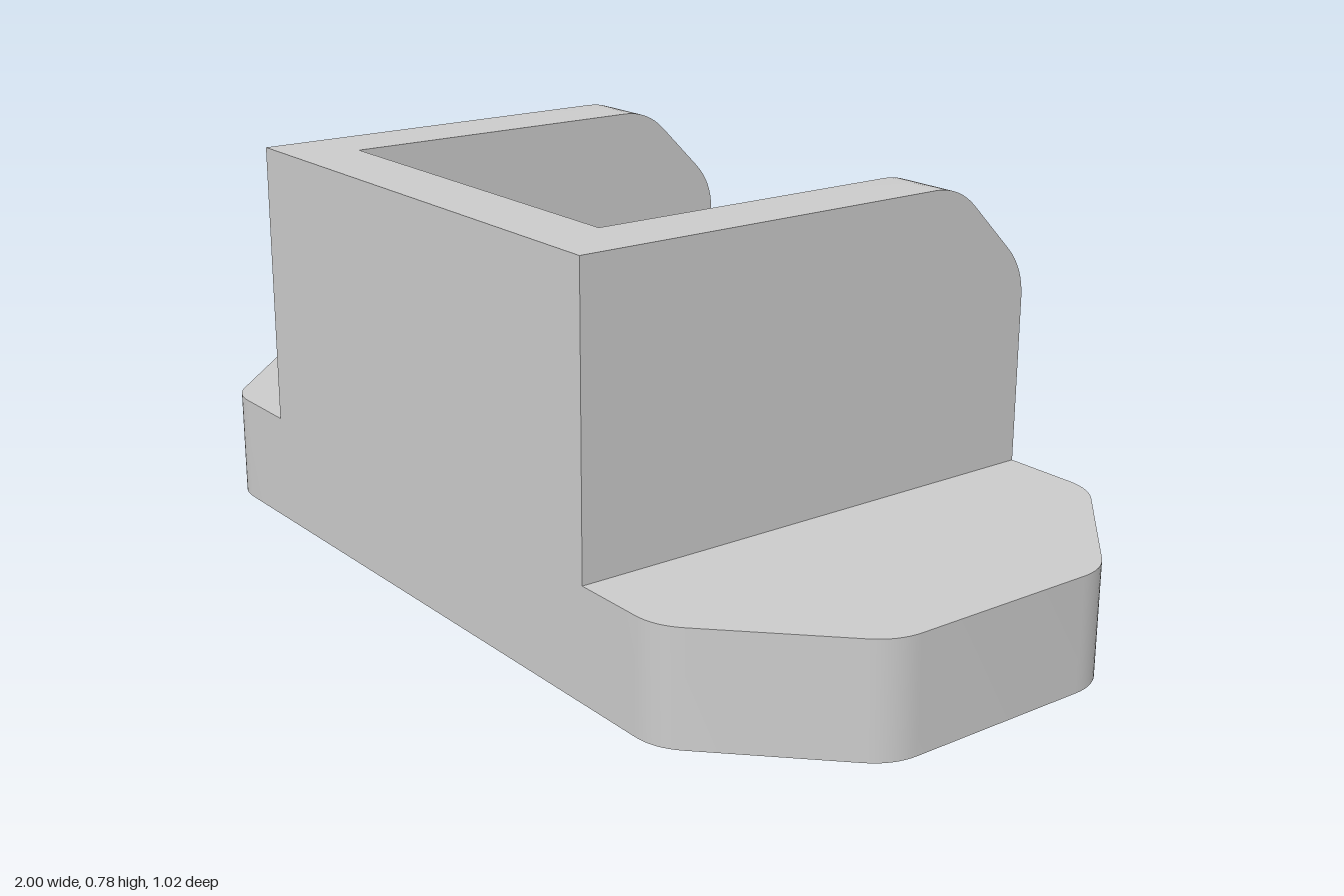
import * as THREE from 'three';
import { toCreasedNormals } from 'three/addons/utils/BufferGeometryUtils.js';

const INNER = 0.4, OUTER = 0.533, HALF_DEPTH = 0.508;
const HEIGHT = 0.777, BASE = 0.215, FRONT_INNER = 0.375;

// Closed outline from [x, y, t] corners; t is how far the rounding reaches along each edge.
function roundedOutline(corners) {
  const shape = new THREE.Shape();
  const points = corners.map(([x, y]) => new THREE.Vector2(x, y));
  const n = corners.length;
  points.forEach((p, i) => {
    const t = corners[i][2] ?? 0;
    const toward = (q) => q.clone().sub(p).setLength(t).add(p);
    const a = t ? toward(points[(i + n - 1) % n]) : p;
    if (i === 0) shape.moveTo(a.x, a.y);
    else shape.lineTo(a.x, a.y);
    if (t) {
      const b = toward(points[(i + 1) % n]);
      shape.quadraticCurveTo(p.x, p.y, b.x, b.y);
    }
  });
  shape.closePath();
  return shape;
}

const extrude = (shape, depth) =>
  new THREE.ExtrudeGeometry(shape, { depth, bevelEnabled: false, curveSegments: 8 });

export function createModel() {
  const group = new THREE.Group();
  const material = new THREE.MeshStandardMaterial({ color: 0xcccccc });
  const add = (name, geometry) => {
    const mesh = new THREE.Mesh(toCreasedNormals(geometry, 0.4), material);
    mesh.name = name;
    group.add(mesh);
  };

  // Side wall profile (back to the right), its upper back corner cut and rounded
  const wall = roundedOutline([
    [-HALF_DEPTH, 0], [HALF_DEPTH, 0],
    [HALF_DEPTH, 0.599, 0.06], [0.33, HEIGHT, 0.06],
    [-HALF_DEPTH, HEIGHT],
  ]);

  // Foot plan with two cut and rounded outer corners
  const foot = roundedOutline([
    [OUTER, -HALF_DEPTH], [0.728, -HALF_DEPTH, 0.05], [1, -0.236, 0.05],
    [1, 0.236, 0.05], [0.728, HALF_DEPTH, 0.05], [OUTER, HALF_DEPTH],
  ]);

  for (const [side, sign] of [['left', 1], ['right', -1]]) {
    add(side + 'Wall', extrude(wall, OUTER - INNER)
      .rotateY(Math.PI / 2)
      .translate(sign > 0 ? INNER : -OUTER, 0, 0));
    add(side + 'Foot', extrude(foot, BASE)
      .rotateX(-Math.PI / 2)
      .rotateY(sign > 0 ? 0 : Math.PI));
  }

  // Front wall joining the two side walls
  const thickness = HALF_DEPTH - FRONT_INNER;
  add('frontWall', new THREE.BoxGeometry(INNER * 2, HEIGHT, thickness)
    .translate(0, HEIGHT / 2, FRONT_INNER + thickness / 2));

  return group;
}
